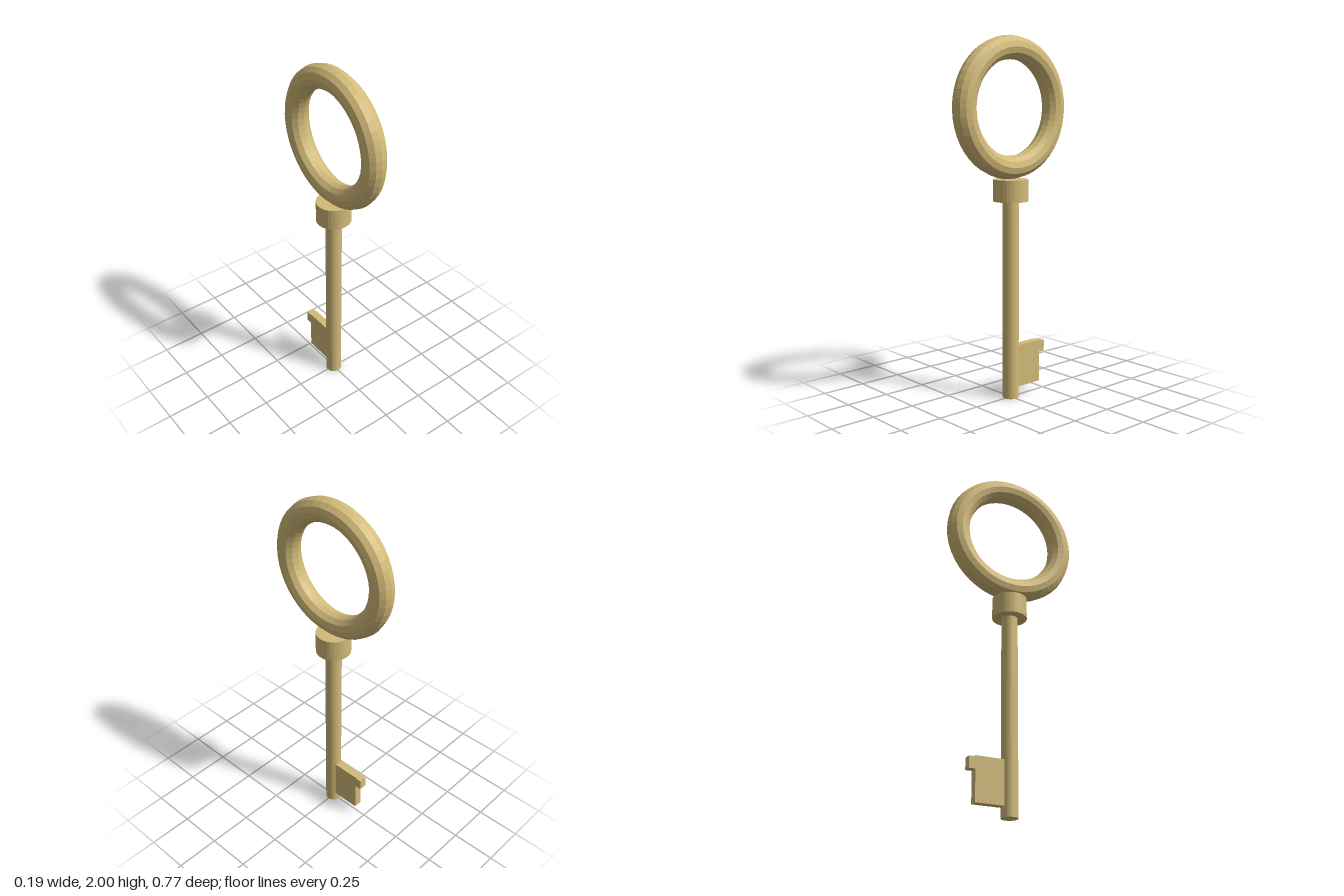
import * as THREE from 'three';

export function createModel() {
  const key = new THREE.Group();
  key.name = 'key';
  const brass = new THREE.MeshStandardMaterial({ color: 0xd2ba78, flatShading: true });

  function add(name, geometry, x, y, z) {
    const mesh = new THREE.Mesh(geometry, brass);
    mesh.name = name;
    mesh.position.set(x, y, z);
    key.add(mesh);
    return mesh;
  }
  // Upright cylinder between two heights
  const post = (name, r, y0, y1) =>
    add(name, new THREE.CylinderGeometry(r, r, y1 - y0, 32), 0, (y0 + y1) / 2, 0);
  // Flat plate standing in the YZ plane
  const plate = (name, t, y0, y1, z0, z1) =>
    add(name, new THREE.BoxGeometry(t, y1 - y0, z1 - z0), 0, (y0 + y1) / 2, (z0 + z1) / 2);

  // Ring handle, turned to lie in the YZ plane
  const bow = add('bow', new THREE.TorusGeometry(0.321, 0.064, 12, 48), 0, 1.615, 0);
  bow.rotation.y = Math.PI / 2;

  // Collar and shaft
  post('collar', 0.096, 1.11, 1.23);
  post('shaft', 0.045, 0, 1.12);

  // Bit with its small tooth, pointing backwards
  plate('bit', 0.046, 0.056, 0.296, -0.2, -0.03);
  plate('tooth', 0.046, 0.226, 0.29, -0.236, -0.19);

  return key;
}
